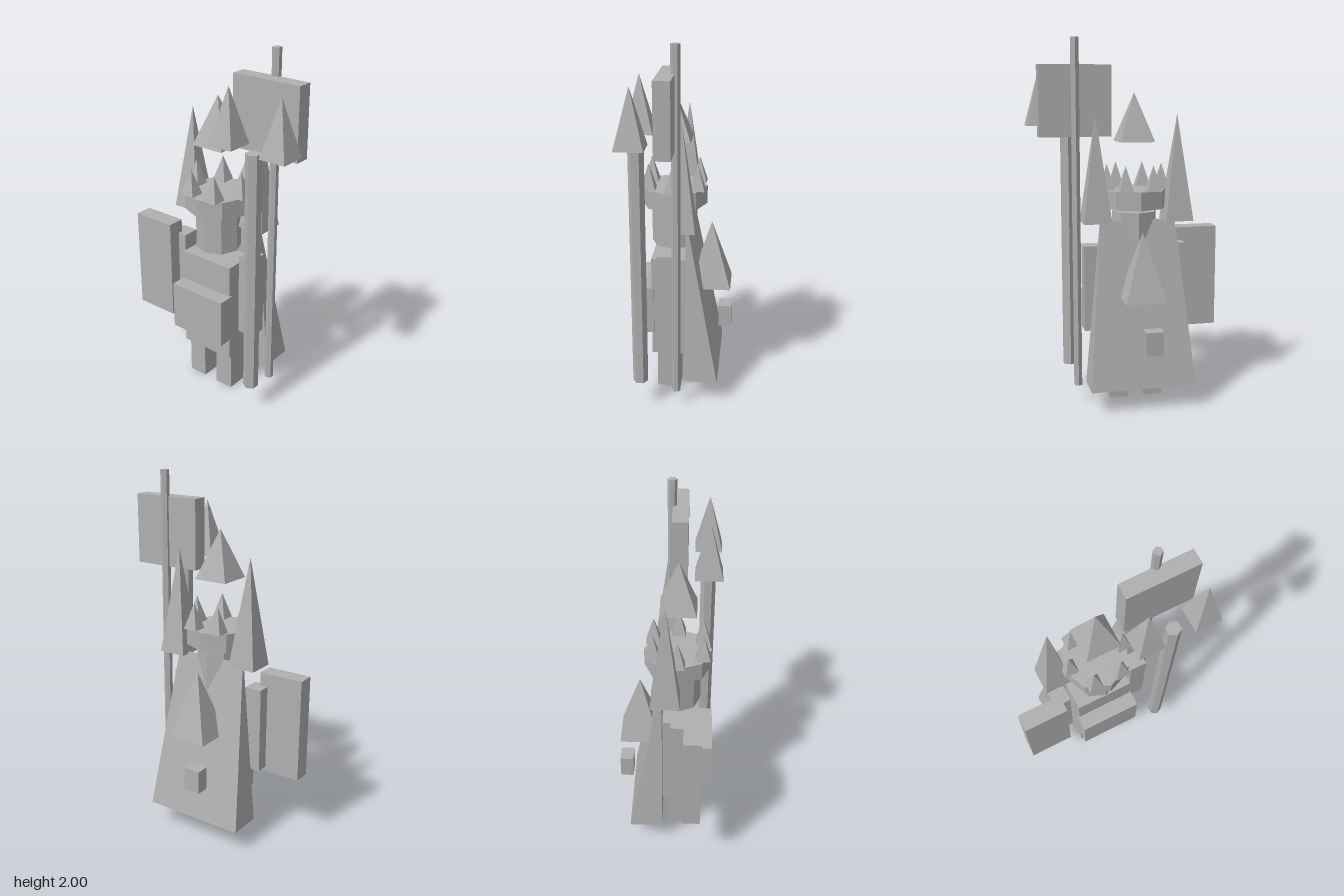
import * as THREE from 'three';

const CX = -0.042; // the figure's own centre line
const HEAD_Z = 0.047;

export function createModel() {
  const model = new THREE.Group();
  const stone = new THREE.MeshStandardMaterial({ color: 0xb0b0b0, flatShading: true });
  stone.name = 'plain grey';

  function add(name, geometry, x, y, z, parent = model) {
    const mesh = new THREE.Mesh(geometry, stone);
    mesh.name = name;
    mesh.position.set(x, y, z);
    parent.add(mesh);
    return mesh;
  }

  // box from its limits on each axis
  function box(name, [x0, x1], [y0, y1], [z0, z1]) {
    return add(name, new THREE.BoxGeometry(x1 - x0, y1 - y0, z1 - z0),
      (x0 + x1) / 2, (y0 + y1) / 2, (z0 + z1) / 2);
  }

  // upright prism with a corner facing the front
  function prism(name, radius, sides, [y0, y1], x, z) {
    return add(name, new THREE.CylinderGeometry(radius, radius, y1 - y0, sides), x, (y0 + y1) / 2, z);
  }

  // square pyramid with sides along the axes
  function pyramid(name, size, [y0, y1], x, z, parent) {
    const geometry = new THREE.ConeGeometry(size / Math.SQRT2, y1 - y0, 4).rotateY(Math.PI / 4);
    return add(name, geometry, x, (y0 + y1) / 2, z, parent);
  }

  // body
  box('torso', [-0.205, 0.122], [0.225, 0.81], [-0.033, 0.16]);
  box('frontPlate', [-0.215, 0.13], [0.36, 0.635], [0.148, 0.245]);
  for (const [side, s] of [['left', 1], ['right', -1]]) {
    const leg = CX + s * 0.097;
    box(side + 'Leg', [leg - 0.054, leg + 0.054], [0, 0.226], [0, 0.132]);
    const arm = CX + s * 0.239;
    box(side + 'Arm', [arm - 0.048, arm + 0.048], [0.4, 0.88], [0.016, 0.113]);
    pyramid(side + 'ShoulderSpike', 0.154, [1.02, 1.6], CX + s * 0.226, -0.014);
  }

  // head and crown
  prism('head', 0.125, 8, [0.86, 1.07], CX, HEAD_Z);
  prism('crownBand', 0.181, 8, [1.09, 1.19], CX, HEAD_Z);
  const spikes = new THREE.Group();
  spikes.name = 'crownSpikes';
  model.add(spikes);
  for (let i = 0; i < 6; i++) {
    const a = (i * Math.PI) / 3;
    pyramid('crownSpike', 0.079, [1.19, 1.33],
      CX + 0.153 * Math.cos(a), HEAD_Z + 0.153 * Math.sin(a), spikes);
  }
  pyramid('topSpike', 0.191, [1.45, 1.715], CX, HEAD_Z);

  // cape: a wedge that narrows and thins towards the shoulders
  const cape = new THREE.BoxGeometry(1, 1, 1);
  const p = cape.attributes.position;
  for (let i = 0; i < p.count; i++) {
    const top = p.getY(i) > 0;
    const back = top ? -0.042 : -0.217;
    p.setXYZ(i,
      Math.sign(p.getX(i)) * (top ? 0.208 : 0.291),
      top ? 1.03 : 0.125,
      p.getZ(i) > 0 ? -0.033 : back);
  }
  cape.computeVertexNormals();
  add('cape', cape, CX, 0, 0);
  pyramid('hood', 0.223, [0.615, 0.98], CX, -0.161);
  box('backPouch', [-0.132, -0.036], [0.33, 0.46], [-0.28, -0.206]);

  // shield
  box('shield', [-0.535, -0.283], [0.375, 0.955], [0.085, 0.182]);

  // banner on its pole
  prism('bannerPole', 0.024, 6, [0.095, 2], 0.288, 0.005);
  box('banner', [0.091, 0.482], [1.48, 1.86], [0.007, 0.091]);

  // two-pointed weapon
  prism('weaponShaft', 0.0415, 6, [0.157, 1.525], 0.305, 0.202);
  for (const s of [-1, 1]) pyramid('weaponPoint', 0.146, [1.535, 1.83], 0.305 + s * 0.155, 0.202);

  return model;
}
